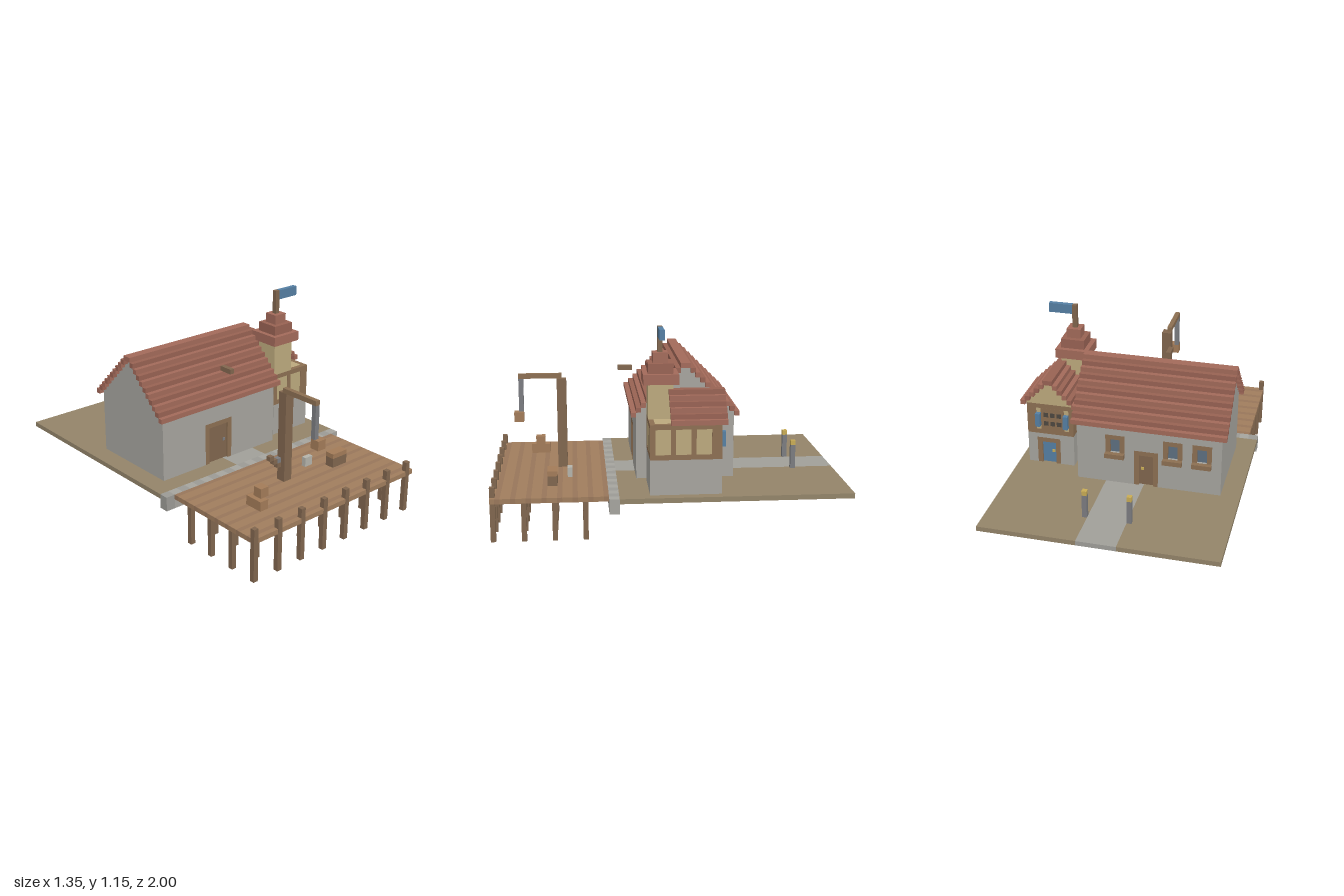
import * as THREE from 'three';

const U = 2 / 71; // one block; x from the centre, y from the bottom, z counted from the back
const MID = 35.5;
const STONE = 0xa6a49e, STONE2 = 0x9b9a95, EARTH = 0x938469, PATH = 0xa09f99, PLANK = 0xa07d5d, PLANK2 = 0x98765a;
const WOOD = 0x80664e, FRAME = 0x8c6f52, CRATE = 0xa27b58, PLASTER = 0xbca97d;
const TILE = 0xa26a5a, TILE2 = 0x986253, BLUE = 0x557fa3, IRON = 0x7b7c80, GLASS = 0x5d6f80, GOLD = 0xc9ac55;

const mats = {};
const mat = (color) => (mats[color] ??= new THREE.MeshStandardMaterial({ color, flatShading: true }));

// Box given by its limits in blocks
function box(parent, name, color, x0, x1, y0, y1, z0, z1) {
  const m = new THREE.Mesh(new THREE.BoxGeometry((x1 - x0) * U, (y1 - y0) * U, (z1 - z0) * U), mat(color));
  m.position.set((x0 + x1) / 2 * U, (y0 + y1) / 2 * U, ((z0 + z1) / 2 - MID) * U);
  m.name = name;
  parent.add(m);
  return m;
}

// Upright wall facing z with rectangular openings [x0, x1, y0, y1]
function wall(parent, name, color, x0, x1, y0, y1, z0, z1, openings) {
  const rect = (P, a, b, c, d) => {
    const p = new P();
    p.moveTo(a * U, c * U).lineTo(b * U, c * U).lineTo(b * U, d * U).lineTo(a * U, d * U).closePath();
    return p;
  };
  const shape = rect(THREE.Shape, x0, x1, y0, y1);
  for (const o of openings) shape.holes.push(rect(THREE.Path, ...o));
  const m = new THREE.Mesh(new THREE.ExtrudeGeometry(shape, { depth: (z1 - z0) * U, bevelEnabled: false }), mat(color));
  m.position.z = (z0 - MID) * U;
  m.name = name;
  parent.add(m);
}

function group(parent, name) {
  const g = new THREE.Group();
  g.name = name;
  parent.add(g);
  return g;
}

// Door frame with a recessed leaf
function door(parent, name, color, x0, x1, top, z0, z1, inset) {
  const g = group(parent, name);
  box(g, 'doorPostLeft', FRAME, x0, x0 + 1, 7.97, top, z0, z1);
  box(g, 'doorPostRight', FRAME, x1 - 1, x1, 7.97, top, z0, z1);
  box(g, 'doorLintel', FRAME, x0 + 1, x1 - 1, top - 1, top, z0, z1);
  box(g, 'doorLeaf', color, x0 + 1, x1 - 1, 7.97, top - 1, z0 + Math.max(inset, 0), z1 + Math.min(inset, 0));
  return g;
}

function buildGround(root) {
  const g = group(root, 'ground');
  box(g, 'earthLeft', EARTH, 4, 24, 8, 9, 0, 46);
  box(g, 'earthRight', EARTH, -24, -4, 8, 9, 0, 46);
  box(g, 'path', PATH, -4, 4, 8, 9, 0, 46);
  for (let x = -24, i = 0; x < 24; x += 2, i++) box(g, 'quayStone', i % 2 ? STONE : STONE2, x, x + 2, 6, 9, 46, 48);
  for (const x of [-5, 4]) {
    box(g, 'lampPost', IRON, x, x + 1, 9, 14, 8, 9);
    box(g, 'lamp', GOLD, x, x + 1, 14, 15, 8, 9);
  }
}

function buildDock(root) {
  const g = group(root, 'dock');
  for (let z = 48; z < 71; z++) box(g, 'plank', z % 3 ? PLANK : PLANK2, -22, 22, 8, 9, z, z + 1);
  for (let i = 0; i < 8; i++) {
    const x = -22 + 6 * i;
    for (const z of [52, 58, 64]) box(g, 'pile', WOOD, x, x + 1, 0, 8, z, z + 1);
    box(g, 'frontPile', WOOD, x - 0.02, x + 1.02, 0, 11, 70, 71.02);
  }
  // Cargo
  box(g, 'crateLow', CRATE, -14, -12, 9, 11, 60, 64);
  box(g, 'crateHigh', CRATE, -13, -11, 11, 13, 61, 63);
  box(g, 'chest', WOOD, 10, 14, 9, 11, 58, 60);
  box(g, 'chestLid', CRATE, 10, 14, 11, 12, 58, 60);
  box(g, 'bucket', 0xb4b3ab, 6, 8, 9, 11, 55, 56);
  // Crane with winch
  const c = group(g, 'crane');
  box(c, 'mast', WOOD, -2, 0, 9, 28, 56, 58);
  box(c, 'arm', FRAME, -2, -1, 28, 29, 57, 66);
  box(c, 'chain', IRON, -2, -1, 21, 28, 65, 66);
  box(c, 'load', CRATE, -2, 0, 19, 21, 65, 67);
  box(c, 'winchDrum', IRON, -3, -2, 13, 14, 56, 57);
  box(c, 'winchBlock', WOOD, -3, -2, 12, 13, 56, 57);
  box(c, 'crank', WOOD, -4, -3, 13, 14, 56, 57);
  box(c, 'crankHandle', WOOD, -5, -4, 14, 15, 56, 57);
}

function buildHouse(root) {
  const g = group(root, 'house');
  const windows = [0, -12, -18];
  wall(g, 'frontWall', STONE, -20, 10, 7.97, 22, 41, 42, [[-9, -2, 7.975, 18]]);
  wall(g, 'backWall', STONE, -20, 10, 7.97, 22, 22, 23, [[-7, -2, 7.975, 17], ...windows.map((x) => [x, x + 4, 16, 20])]);
  for (const x of [-20, 9]) {
    box(g, 'sideWall', STONE, x, x + 1, 7.97, 22, 23, 41);
    for (let i = 0; i < 10; i++) box(g, 'gable', STONE, x, x + 1, 22 + i, 23 + i, 22 + i, 42 - i);
  }
  const front = door(g, 'frontDoor', WOOD, -9, -2, 18, 41, 42, -0.5);
  box(front, 'doorHandle', IRON, -4, -3.5, 13, 13.6, 41.4, 41.7);
  const back = door(g, 'backDoor', WOOD, -7, -2, 17, 22, 23, 0.5);
  box(back, 'doorHandle', GOLD, -4, -3.4, 12.5, 13.1, 22.3, 22.6);
  for (const x of windows) {
    const w = group(g, 'backWindow');
    box(w, 'windowJamb', FRAME, x, x + 1, 16, 20, 22, 23);
    box(w, 'windowJamb', FRAME, x + 3, x + 4, 16, 20, 22, 23);
    box(w, 'windowHead', FRAME, x + 1, x + 3, 19, 20, 22, 23);
    box(w, 'glass', GLASS, x + 1, x + 3, 16, 19, 22.5, 23);
    box(w, 'windowSill', FRAME, x, x + 4, 15, 16, 21, 22);
  }
  // Stepped tile roof with its ridge along x
  const r = group(g, 'houseRoof');
  for (let i = 0; i < 11; i++) {
    const c = i % 2 ? TILE2 : TILE;
    box(r, 'tileRow', c, -21, 11, 22 + i, 23 + i, 21 + i, 22 + i);
    box(r, 'tileRow', c, -21, 11, 22 + i, 23 + i, 42 - i, 43 - i);
  }
  box(g, 'hoistBeam', WOOD, -5, -4, 29, 30, 42, 45);
}

// Timber storey beams along one side, spaced every four blocks with a corner post at the end
function buildWing(root) {
  const g = group(root, 'wing');
  box(g, 'stoneFront', STONE, 12, 22, 7.97, 16, 39, 40);
  wall(g, 'stoneBack', STONE, 12, 22, 7.97, 16, 26, 27, [[15, 20, 7.975, 15]]);
  for (const x of [12, 21]) box(g, 'stoneSide', STONE, x, x + 1, 7.97, 16, 27, 39);
  const d = door(g, 'wingDoor', BLUE, 15, 20, 15, 26, 27, 0.5);
  box(d, 'doorHandle', GOLD, 16.3, 16.9, 11.5, 12.1, 26.3, 26.6);

  // Half-timbered upper storey
  const t = group(g, 'timberStorey');
  box(t, 'plasterCore', PLASTER, 12.06, 21.94, 16, 22.98, 26.06, 39.94);
  for (const y of [16, 22]) {
    for (const z of [26, 39]) box(t, 'rail', FRAME, 12, 22, y, y + 1, z, z + 1);
    for (const x of [12, 21]) box(t, 'rail', FRAME, x, x + 1, y, y + 1, 27, 39);
  }
  for (const x of [12, 16, 20, 21]) {
    box(t, 'stud', FRAME, x, x + 1, 17, 22, 39, 40);
    if (x !== 16) box(t, 'stud', FRAME, x, x + 1, 17, 22, 26, 27);
  }
  for (const z of [27, 31, 35]) for (const x of [12, 21]) box(t, 'stud', FRAME, x, x + 1, 17, 22, z, z + 1);

  // Back window with lattice and shutters
  const w = group(g, 'shutteredWindow');
  box(w, 'windowFrame', FRAME, 14, 19, 17, 22, 25.98, 26.5);
  for (const x of [14.6, 16, 17.4]) for (const y of [18, 20]) box(w, 'pane', 0x4d4740, x, x + 1, y, y + 1, 25.94, 26.2);
  for (const x of [13, 19]) box(w, 'shutter', BLUE, x, x + 1, 18, 21, 25, 26);

  // Gables and stepped roof with its ridge along z
  for (let i = 0; i < 6; i++) {
    if (i < 5) for (const z of [26, 34]) box(g, 'wingGable', PLASTER, 12 + i, 22 - i, 23 + i, 24 + i, z, z + 1);
    const c = i % 2 ? TILE2 : TILE;
    box(g, 'wingTileRow', c, 11 + i, 12 + i, 23 + i, 24 + i, 25, 36);
    box(g, 'wingTileRow', c, 22 - i, 23 - i, 23 + i, 24 + i, 25, 36);
  }
}

function buildTower(root) {
  const g = group(root, 'tower');
  box(g, 'towerWall', PLASTER, 12, 17, 23, 30, 35.02, 40);
  for (let i = 0; i < 3; i++) box(g, 'towerRoofTier', i % 2 ? TILE2 : TILE, 11 + i, 18 - i, 30 + 2 * i, 32 + 2 * i, 34 + i, 41 - i);
  box(g, 'flagPole', WOOD, 14, 15, 36, 41, 37, 38);
  box(g, 'flag', BLUE, 15, 20, 39, 41, 37, 38);
}

export function createModel() {
  const root = new THREE.Group();
  root.name = 'harbourHouse';
  for (const build of [buildGround, buildDock, buildHouse, buildWing, buildTower]) build(root);
  return root;
}
